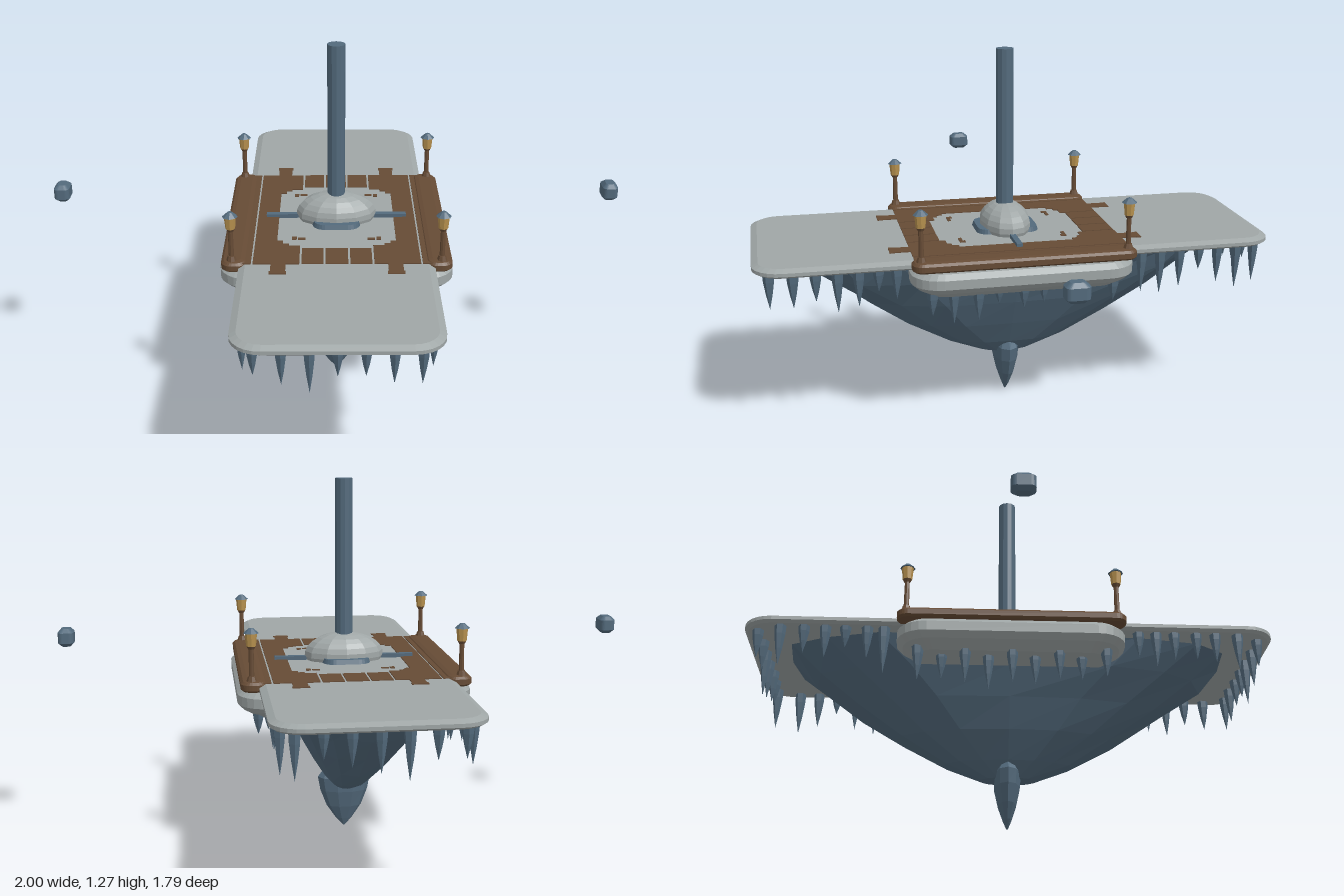
import * as THREE from 'three';
import { mergeGeometries } from 'three/addons/utils/BufferGeometryUtils.js';

const mat = (name, color) => new THREE.MeshStandardMaterial({ name, color, flatShading: true });

// Small seeded generator
let seed = 7;
const rand = () => (seed = (seed * 16807) % 2147483647) / 2147483647;

// Closed solid from equal-length [x, y, z] rings, listed from bottom to top
function loft(rings) {
  const n = rings[0].length, pos = rings.flat(2), idx = [];
  for (let r = 0; r < rings.length - 1; r++) {
    for (let i = 0; i < n; i++) {
      const a = r * n + i, b = r * n + (i + 1) % n;
      idx.push(a, a + n, b, a + n, b + n, b);
    }
  }
  const last = (rings.length - 1) * n;
  for (let i = 1; i < n - 1; i++) {
    idx.push(0, i, i + 1, last, last + i + 1, last + i);
  }
  const g = new THREE.BufferGeometry();
  g.setAttribute('position', new THREE.Float32BufferAttribute(pos, 3));
  g.setIndex(idx);
  g.computeVertexNormals();
  return g;
}

// Rounded rectangle ring
function roundRing(y, hx, hz, r, cx = 0) {
  const pts = [], steps = 6;
  for (let q = 0; q < 4; q++) {
    const sx = q === 0 || q === 3 ? 1 : -1, sz = q < 2 ? 1 : -1;
    for (let s = 0; s <= steps; s++) {
      const a = (q + s / steps) * Math.PI / 2;
      pts.push([cx + sx * (hx - r) + r * Math.cos(a), y, sz * (hz - r) + r * Math.sin(a)]);
    }
  }
  return pts;
}

// Oval ring: power below 1 squares it off, rough makes it uneven
function ovalRing(y, rx, rz, n, power = 1, rough = 0) {
  const bend = (v) => Math.sign(v) * Math.abs(v) ** power;
  return Array.from({ length: n }, (_, i) => {
    const a = i / n * Math.PI * 2, k = 1 - rough * rand();
    return [rx * bend(Math.cos(a)) * k, y, rz * bend(Math.sin(a)) * k];
  });
}

export function createModel() {
  seed = 7;
  const snow = mat('snow', 0x9fa6a6), rock = mat('slateRock', 0x536a7c);
  const wood = mat('wood', 0x664b35), gold = mat('lanternGold', 0xb8924f);
  const root = new THREE.Group();
  root.name = 'floatingIsland';
  const add = (name, geo, material, parent = root) => {
    const m = new THREE.Mesh(geo, material);
    m.name = name;
    parent.add(m);
    return m;
  };

  // Long snow slab
  add('snowSlab', loft([
    roundRing(0.602, 0.315, 0.885, 0.09), roundRing(0.61, 0.327, 0.897, 0.1),
    roundRing(0.622, 0.327, 0.897, 0.1), roundRing(0.632, 0.305, 0.875, 0.08),
  ]), snow);

  // Faceted keel of rock below, squarer towards the top
  const keel = [[0.16, 0.02, 0.04, 1], [0.17, 0.045, 0.1, 1], [0.22, 0.085, 0.23, 0.95],
    [0.31, 0.14, 0.4, 0.9], [0.41, 0.195, 0.555, 0.82], [0.51, 0.24, 0.69, 0.72], [0.605, 0.275, 0.8, 0.6]];
  add('rockKeel', loft(keel.map(([y, x, z, p]) => ovalRing(y, x, z, 16, p, 0.06))), rock);

  // Pointed crystal at the bottom
  const tip = [[0, 0.003, 0.003], [0.03, 0.03, 0.015], [0.08, 0.064, 0.032], [0.14, 0.087, 0.045],
    [0.19, 0.096, 0.048], [0.225, 0.07, 0.03]];
  add('keelCrystal', loft(tip.map(([y, x, z]) => ovalRing(y, x, z, 10))), rock);

  // Side ledges and deck rails
  for (const s of [1, -1]) {
    const cx = s * 0.272;
    add('sideLedge', loft([
      roundRing(0.505, 0.065, 0.32, 0.06, cx), roundRing(0.53, 0.105, 0.362, 0.09, cx),
      roundRing(0.55, 0.123, 0.382, 0.1, cx), roundRing(0.582, 0.123, 0.382, 0.1, cx),
      roundRing(0.599, 0.105, 0.362, 0.085, cx),
    ]), snow);
    const rx = s * 0.342;
    add('deckRail', loft([
      roundRing(0.605, 0.036, 0.374, 0.03, rx), roundRing(0.612, 0.044, 0.382, 0.036, rx),
      roundRing(0.63, 0.044, 0.382, 0.036, rx), roundRing(0.638, 0.036, 0.374, 0.03, rx),
      roundRing(0.641, 0.022, 0.36, 0.018, rx),
    ]), wood);
  }

  // Deck planks, laid almost flush around the open centre
  const planks = [];
  const plank = (x, z, w, d) => planks.push(new THREE.BoxGeometry(w, 0.006, d).translate(x, 0.632, z));
  for (const s of [1, -1]) {
    plank(s * 0.2425, 0, 0.075, 0.74);
    plank(s * 0.304, 0, 0.036, 0.74);
    for (const e of [1, -1]) {
      plank(s * 0.1655, e * 0.3035, 0.081, 0.133);
      plank(s * 0.1955, e * 0.219, 0.021, 0.038);
      plank(s * 0.175, e * 0.23, 0.022, 0.016);
      plank(s * 0.0815, e * 0.3135, 0.073, 0.113);
      plank(s * 0.195, e * 0.4, 0.05, 0.06);
      plank(s * 0.195, e * 0.432, 0.057, 0.018);
      plank(s * 0.146, e * 0.18, 0.016, 0.02);
      plank(s * 0.12, e * 0.184, 0.026, 0.012);
    }
  }
  for (const e of [1, -1]) plank(0, e * 0.3135, 0.076, 0.113);
  add('deckPlanks', mergeGeometries(planks), wood);

  // Snow mound, its stone base and the mast
  add('moundBase', loft([roundRing(0.63, 0.085, 0.112, 0.045), roundRing(0.648, 0.08, 0.106, 0.04)]), rock);
  add('crossBar', new THREE.BoxGeometry(0.5, 0.016, 0.02).translate(0, 0.638, 0), rock);
  add('snowMound', new THREE.SphereGeometry(1, 12, 8, 0, Math.PI * 2, 0, Math.PI * 0.6)
    .scale(0.142, 0.08, 0.09).translate(0, 0.65, 0), snow);
  add('mast', new THREE.CylinderGeometry(0.031, 0.031, 0.64, 12).translate(0, 0.955, 0), rock);

  // Corner lanterns
  for (const x of [0.35, -0.35]) for (const z of [0.352, -0.352]) {
    const lamp = new THREE.Group();
    lamp.name = 'lantern';
    lamp.position.set(x, 0.638, z);
    root.add(lamp);
    const part = (name, rt, rb, y0, y1, m) =>
      add(name, new THREE.CylinderGeometry(rt, rb, y1 - y0, 8).translate(0, (y0 + y1) / 2, 0), m, lamp);
    part('lampFoot', 0.012, 0.018, 0, 0.018, wood);
    part('lampPost', 0.008, 0.009, 0.015, 0.115, wood);
    part('lampCollar', 0.015, 0.01, 0.108, 0.118, wood);
    part('lampGlass', 0.02, 0.016, 0.118, 0.161, gold);
    part('lampCap', 0.008, 0.026, 0.161, 0.177, rock);
  }

  // Icicles under the slab edge and the ledges
  const spikes = [];
  const icicle = (x, y, z, len) => {
    const profile = [[0, -1], [0.011, -0.6], [0.018, -0.25], [0.02, 0]]
      .map(([r, h]) => new THREE.Vector2(r, h * len));
    spikes.push(new THREE.LatheGeometry(profile, 6).translate(x, y, z));
  };
  for (const s of [1, -1]) {
    for (let i = 0; i < 7; i++) {
      icicle(-0.255 + i * 0.085, 0.607, s * (0.85 - 0.012 * rand()), 0.09 + 0.08 * rand());
    }
    for (const e of [1, -1]) {
      for (const z of [0.42, 0.48, 0.55, 0.62, 0.69, 0.76]) {
        icicle(s * 0.292, 0.607, e * (z + 0.01 * rand()), 0.08 + 0.09 * rand());
      }
    }
    for (let i = 0; i < 9; i++) {
      icicle(s * (i % 2 ? 0.29 : 0.328), 0.52, -0.31 + i * 0.078, 0.07 + 0.065 * rand());
    }
  }
  add('icicles', mergeGeometries(spikes), rock);

  // Floating stones at both sides
  for (const s of [1, -1]) {
    add('floatingStone', loft([
      roundRing(-0.031, 0.015, 0.022, 0.01), roundRing(-0.018, 0.027, 0.037, 0.016),
      roundRing(0.018, 0.027, 0.037, 0.016), roundRing(0.031, 0.015, 0.022, 0.01),
    ]), rock).position.set(s * 0.973, 0.735, 0);
  }
  return root;
}
